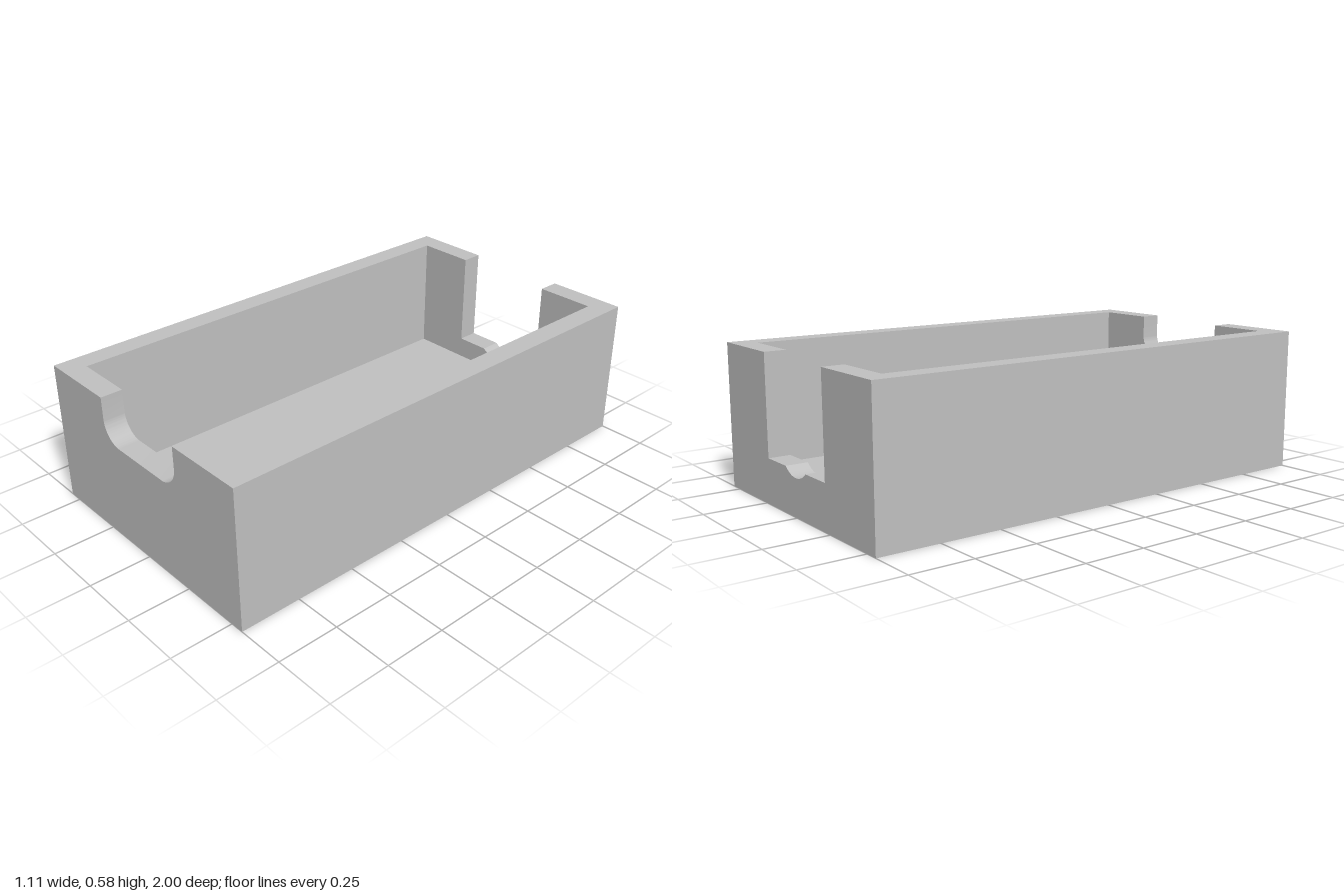
import * as THREE from 'three';
import { toCreasedNormals } from 'three/addons/utils/BufferGeometryUtils.js';

const HALF_W = 0.555, HEIGHT = 0.577, HALF_L = 1, WALL = 0.088;
const NOTCH = 0.222; // half width of both end openings

export function createModel() {
  const group = new THREE.Group();
  const grey = new THREE.MeshStandardMaterial({ color: 0xc0c0c0 });
  grey.name = 'plain grey';

  // Extrude an x-y section along z, starting at z
  function extrude(name, shape, z, depth) {
    const geometry = new THREE.ExtrudeGeometry(shape, { depth, bevelEnabled: false, curveSegments: 16 });
    const mesh = new THREE.Mesh(toCreasedNormals(geometry, 0.5), grey);
    mesh.name = name;
    mesh.position.z = z;
    group.add(mesh);
  }

  // End wall outline; cut draws the opening from right to left
  function endWall(cut) {
    const s = new THREE.Shape();
    s.moveTo(-HALF_W, 0);
    s.lineTo(HALF_W, 0);
    s.lineTo(HALF_W, HEIGHT);
    s.lineTo(NOTCH, HEIGHT);
    cut(s);
    s.lineTo(-NOTCH, HEIGHT);
    s.lineTo(-HALF_W, HEIGHT);
    s.closePath();
    return s;
  }

  // Floor and long side walls as one channel
  const inner = HALF_W - WALL;
  const channel = new THREE.Shape([
    [-HALF_W, 0], [HALF_W, 0], [HALF_W, HEIGHT], [inner, HEIGHT],
    [inner, WALL], [-inner, WALL], [-inner, HEIGHT], [-HALF_W, HEIGHT],
  ].map(([x, y]) => new THREE.Vector2(x, y)));
  extrude('floorAndSideWalls', channel, -HALF_L + WALL, 2 * (HALF_L - WALL));

  // Front wall: shallow opening with rounded lower corners
  const r = 0.088, frontY = 0.401;
  extrude('frontWall', endWall((s) => {
    s.lineTo(NOTCH, frontY + r);
    s.absarc(NOTCH - r, frontY + r, r, 0, -Math.PI / 2, true);
    s.absarc(-NOTCH + r, frontY + r, r, -Math.PI / 2, -Math.PI, true);
  }), HALF_L - WALL, WALL);

  // Back wall: deep square opening with a shallow round dip in its sill
  const backY = 0.178, dipHalf = 0.078, dip = 0.03;
  const dipR = (dipHalf ** 2 + dip ** 2) / (2 * dip);
  const a = Math.asin(dipHalf / dipR);
  extrude('backWall', endWall((s) => {
    s.lineTo(NOTCH, backY);
    s.absarc(0, backY - dip + dipR, dipR, -Math.PI / 2 + a, -Math.PI / 2 - a, true);
    s.lineTo(-NOTCH, backY);
  }), -HALF_L, WALL);

  return group;
}
